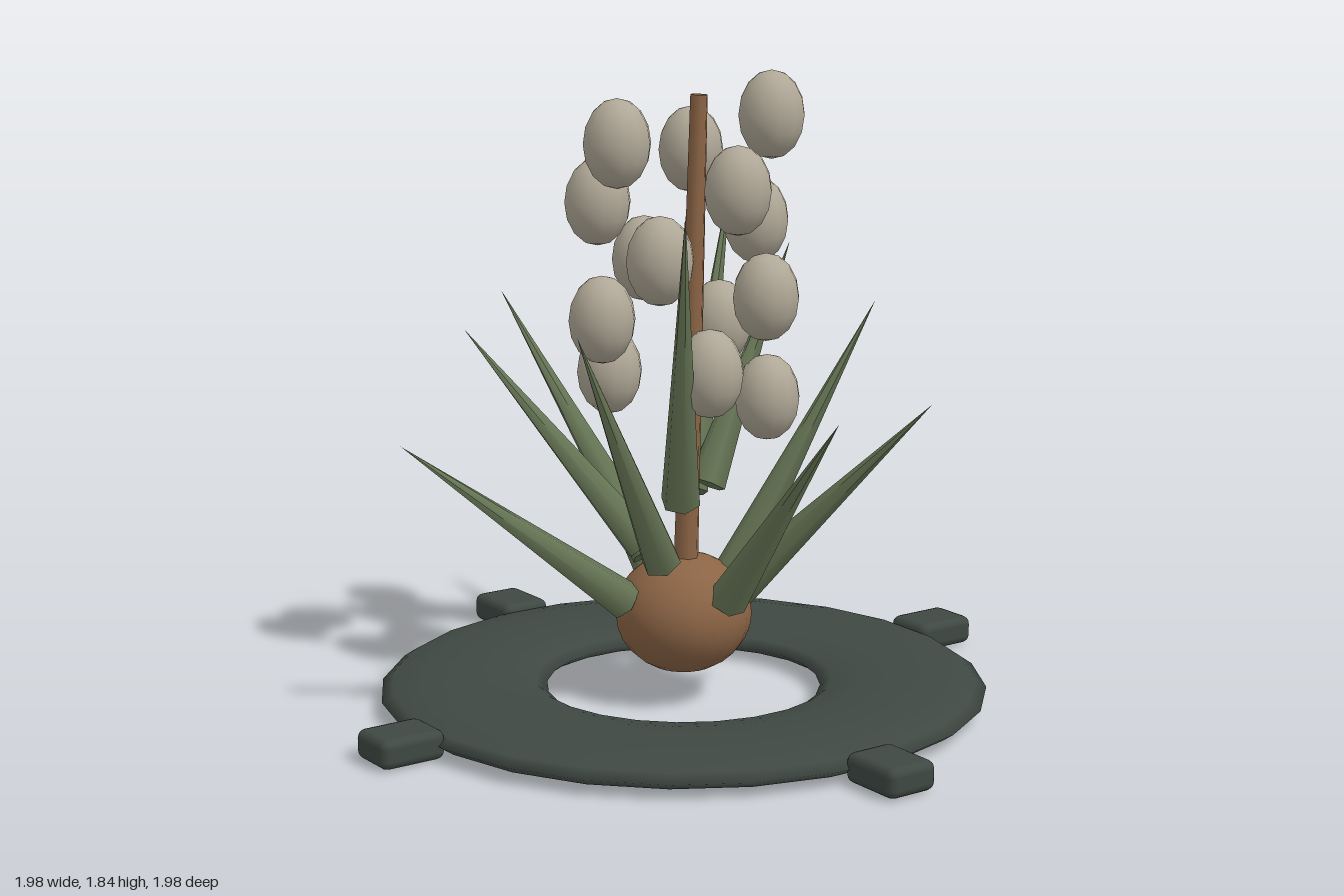
import * as THREE from 'three';
import { RoundedBoxGeometry } from 'three/addons/geometries/RoundedBoxGeometry.js';

const material = (name, color) => {
  const m = new THREE.MeshStandardMaterial({ color });
  m.name = name;
  return m;
};

export function createModel() {
  const group = new THREE.Group();
  const stone = material('dark grey green', 0x3f4843);
  const brown = material('bulb brown', 0x8b6445);
  const green = material('leaf green', 0x667555);
  const cream = material('berry beige', 0xb0a897);

  const add = (name, geometry, mat, x = 0, y = 0, z = 0) => {
    const mesh = new THREE.Mesh(geometry, mat);
    mesh.name = name;
    mesh.position.set(x, y, z);
    group.add(mesh);
    return mesh;
  };

  // Tapered solid between two points
  const taper = (name, from, to, r0, r1, sides, mat) => {
    const a = new THREE.Vector3(...from), b = new THREE.Vector3(...to);
    const dir = b.clone().sub(a);
    const mesh = add(name, new THREE.CylinderGeometry(r1, r0, dir.length(), sides), mat);
    mesh.position.copy(a).add(b).multiplyScalar(0.5);
    mesh.quaternion.setFromUnitVectors(new THREE.Vector3(0, 1, 0), dir.normalize());
    return mesh;
  };

  // Flattened base ring with four rounded tabs
  const ring = new THREE.TorusGeometry(0.6425, 0.2425, 12, 24);
  ring.rotateX(Math.PI / 2);
  ring.scale(1, 0.045 / 0.2425, 1);
  add('baseRing', ring, stone, 0, 0.047, 0);
  const tab = new RoundedBoxGeometry(0.2, 0.085, 0.16, 2, 0.025);
  for (let i = 0; i < 4; i++) {
    const a = THREE.MathUtils.degToRad(23 + i * 90);
    add('baseTab', tab, stone, 0.95 * Math.cos(a), 0.0475, -0.95 * Math.sin(a)).rotation.y = a;
  }

  // Bulb and stalk
  const bulb = new THREE.SphereGeometry(0.2, 20, 14);
  bulb.scale(1, 0.88, 1);
  add('bulb', bulb, brown, 0, 0.265, 0);
  taper('stalk', [0, 0.3, 0.02], [0.045, 1.77, 0], 0.037, 0.025, 8, brown);

  // Pointed leaves: base point, tip point
  const leaves = [
    [[-0.04, 0.32, -0.18], [-0.15, 0.58, -0.8]],
    [[-0.08, 0.42, -0.1], [-0.44, 1.14, -0.56]],
    [[0.04, 0.6, -0.105], [0.26, 1.475, -0.51]],
    [[0.08, 0.63, -0.05], [0.38, 1.305, -0.26]],
    [[-0.11, 0.46, -0.04], [-0.6, 1.085, -0.22]],
    [[0.14, 0.36, 0], [0.575, 1.16, -0.02]],
    [[-0.18, 0.32, 0.045], [-0.84, 0.845, 0.21]],
    [[0.14, 0.35, 0.09], [0.62, 0.935, 0.4]],
    [[-0.09, 0.45, 0.12], [-0.41, 1.195, 0.56]],
    [[-0.03, 0.62, 0.1], [-0.115, 1.51, 0.545]],
    [[0.095, 0.33, 0.15], [0.31, 0.925, 0.55]],
  ];
  for (const [base, tip] of leaves) taper('leaf', base, tip, 0.058, 0, 6, green);

  // Berries in a rising golden-angle spiral
  const berry = new THREE.SphereGeometry(0.096, 12, 8);
  berry.scale(1, 1.31, 1);
  for (let i = 0; i < 14; i++) {
    const a = THREE.MathUtils.degToRad(137.5 * i);
    add('berry', berry, cream, 0.248 * Math.cos(a), 0.892 + 0.0633 * i, -0.248 * Math.sin(a));
  }
  return group;
}
